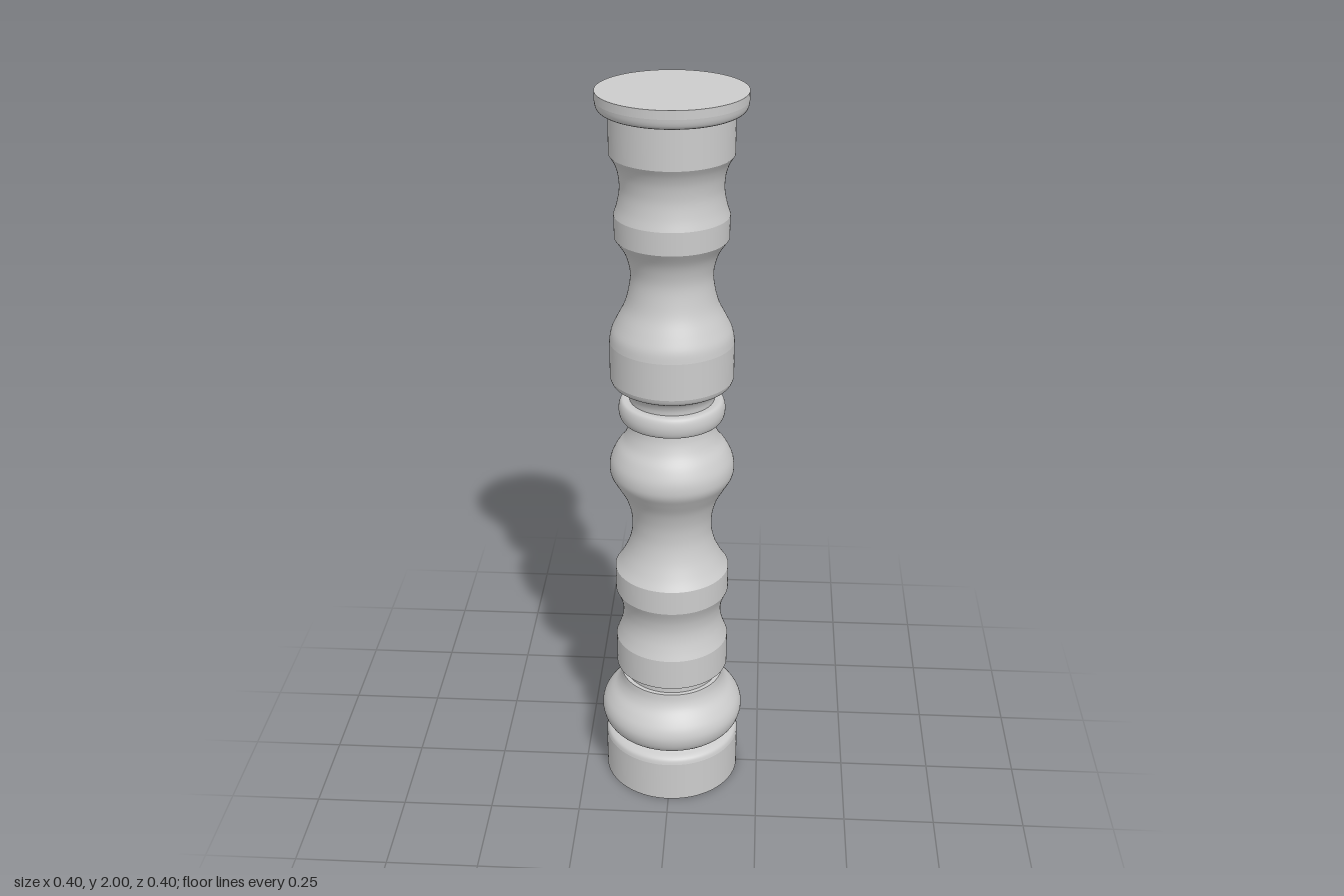
import * as THREE from 'three';

const material = new THREE.MeshStandardMaterial({ color: 0xcccccc });

// Turned sections, bottom to top. Each run of [radius, y] points is smoothed
// on its own, so edges between runs stay sharp.
const sections = {
  basePlinth: [
    [[0, 0], [0.19, 0]],
    [[0.19, 0], [0.19, 0.12]],
    [[0.19, 0.12], [0.186, 0.133], [0.175, 0.141], [0.16, 0.146], [0.155, 0.152]],
  ],
  lowerBulge: [
    [[0.155, 0.152], [0.179, 0.162], [0.194, 0.182], [0.2, 0.21], [0.194, 0.236], [0.178, 0.26],
      [0.157, 0.283], [0.146, 0.305], [0.142, 0.328]],
    [[0.142, 0.328], [0.13, 0.328]],
  ],
  lowerCollar: [[[0.13, 0.328], [0.13, 0.36]]],
  lowerDrum: [
    [[0.13, 0.36], [0.156, 0.36]],
    [[0.156, 0.36], [0.156, 0.45]],
    [[0.156, 0.45], [0.147, 0.474], [0.139, 0.502], [0.136, 0.53], [0.139, 0.558], [0.146, 0.582], [0.156, 0.605]],
  ],
  lowerBand: [[[0.156, 0.605], [0.156, 0.675]]],
  lowerShaft: [
    [[0.156, 0.675], [0.14, 0.7], [0.122, 0.737], [0.111, 0.775], [0.108, 0.81], [0.112, 0.85],
      [0.126, 0.895], [0.148, 0.935], [0.163, 0.962], [0.167, 0.985], [0.163, 1.012], [0.148, 1.043],
      [0.128, 1.07], [0.115, 1.1], [0.11, 1.128]],
  ],
  middleRing: [
    [[0.11, 1.128], [0.13, 1.128], [0.138, 1.138], [0.141, 1.156], [0.138, 1.174], [0.13, 1.184], [0.112, 1.184]],
  ],
  upperNeck: [[[0.112, 1.184], [0.114, 1.2], [0.124, 1.218], [0.142, 1.227], [0.156, 1.236], [0.162, 1.25]]],
  upperDrum: [[[0.162, 1.25], [0.162, 1.35]]],
  upperShaft: [
    [[0.162, 1.35], [0.157, 1.378], [0.142, 1.41], [0.122, 1.45], [0.111, 1.49], [0.106, 1.53],
      [0.111, 1.565], [0.123, 1.597], [0.145, 1.63]],
  ],
  upperBand: [[[0.145, 1.63], [0.146, 1.69]]],
  upperCove: [[[0.146, 1.69], [0.138, 1.715], [0.132, 1.745], [0.131, 1.77], [0.135, 1.8], [0.144, 1.825], [0.156, 1.845]]],
  topDrum: [[[0.156, 1.845], [0.156, 1.948]]],
  topCap: [
    [[0.156, 1.948], [0.17, 1.95], [0.181, 1.956], [0.186, 1.966], [0.188, 1.978]],
    [[0.188, 1.978], [0.188, 2]],
    [[0.188, 2], [0, 2]],
  ],
};

function turn(run) {
  let points = run.map(([r, y]) => new THREE.Vector2(r, y));
  if (points.length > 2) points = new THREE.SplineCurve(points).getPoints((points.length - 1) * 4);
  return new THREE.Mesh(new THREE.LatheGeometry(points, 96), material);
}

export function createModel() {
  const model = new THREE.Group();
  model.name = 'turnedColumn';
  for (const [name, runs] of Object.entries(sections)) {
    const part = new THREE.Group();
    part.name = name;
    runs.forEach((run) => part.add(turn(run)));
    model.add(part);
  }
  return model;
}
